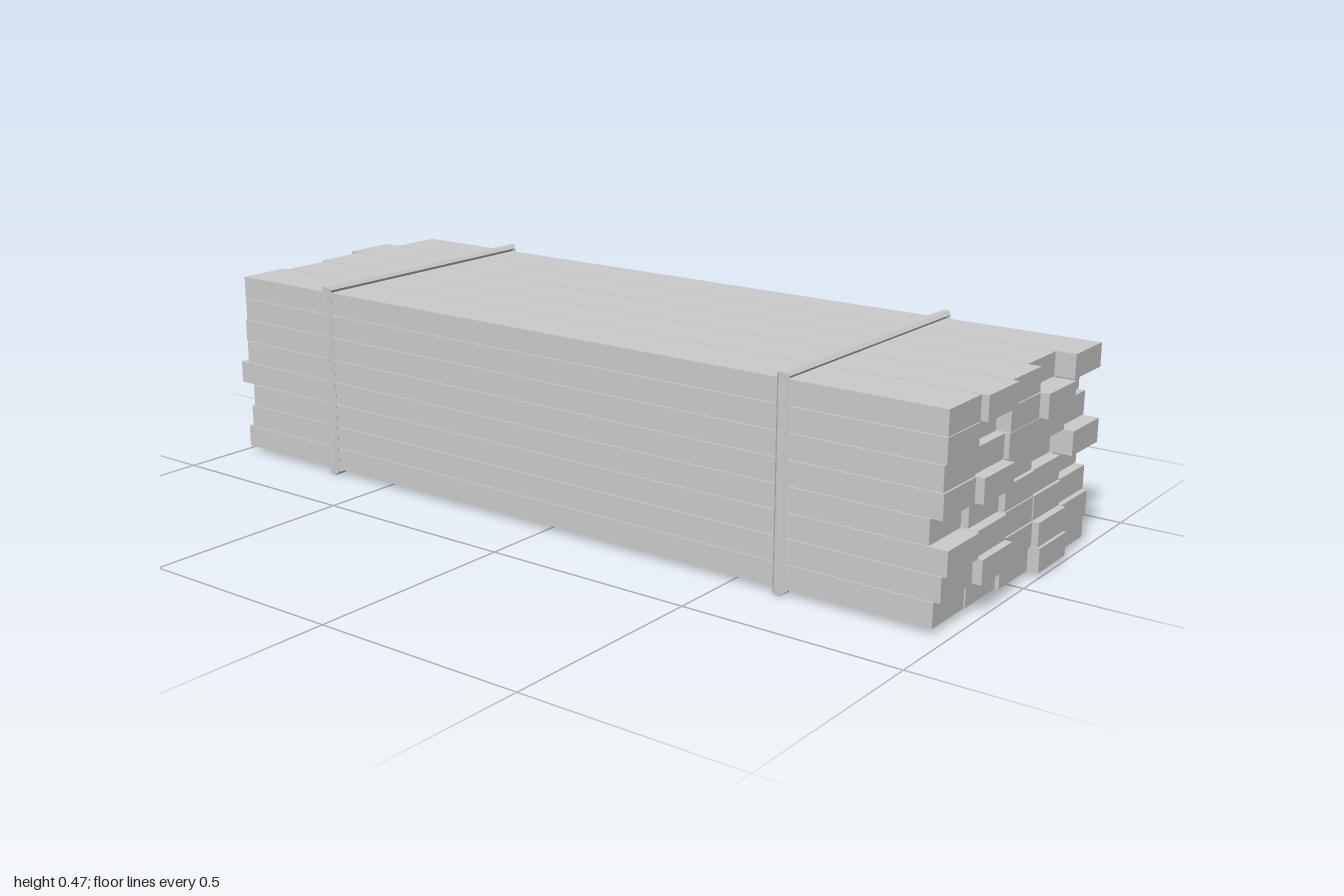
import * as THREE from 'three';

const material = new THREE.MeshStandardMaterial({ color: 0xcccccc, flatShading: true });

// Lengthwise slip of each plank in thousandths: rows bottom to top, columns back to front
const SLIP = [
  [5, 25, 0, -8, -10],
  [10, 20, 6, 25, 5],
  [0, 5, 4, 10, 16],
  [-20, 0, 3, -10, -25],
  [25, -25, -4, 20, 2],
  [-10, 4, 5, -5, 0],
  [-25, 25, 6, -25, 5],
  [20, -25, 5, 20, 5],
];

function createStack() {
  const stack = new THREE.Group();
  stack.name = 'plankStack';
  const geometry = new THREE.BoxGeometry(1.95, 0.0535, 0.129);
  SLIP.forEach((row, r) => row.forEach((slip, c) => {
    const plank = new THREE.Mesh(geometry, material);
    plank.name = `plank_${r + 1}_${c + 1}`;
    plank.position.set(slip / 1000, 0.0395 + r * 0.0553, (c - 2) * 0.1315);
    stack.add(plank);
  }));
  return stack;
}

// Hexagonal band swept around the stack with mitred corners
function createStrapGeometry() {
  const midY = 0.2345, halfY = 0.2265, halfZ = 0.332;
  const section = [[-0.015, 0], [-0.007, 0.008], [0.007, 0.008], [0.015, 0], [0.007, -0.008], [-0.007, -0.008]];
  const corners = [[1, 1], [1, -1], [-1, -1], [-1, 1]]; // signs of z, y
  const positions = [];
  const point = (c, s) => {
    const [sz, sy] = corners[c % 4], [x, out] = section[s % 6];
    return [x, midY + sy * (halfY + out), sz * (halfZ + out)];
  };
  for (let c = 0; c < 4; c++) {
    for (let s = 0; s < 6; s++) {
      const a = point(c, s), b = point(c + 1, s), d = point(c + 1, s + 1), e = point(c, s + 1);
      positions.push(...a, ...b, ...d, ...a, ...d, ...e);
    }
  }
  const geometry = new THREE.BufferGeometry();
  geometry.setAttribute('position', new THREE.Float32BufferAttribute(positions, 3));
  geometry.computeVertexNormals();
  return geometry;
}

export function createModel() {
  const model = new THREE.Group();
  model.name = 'plankBundle';
  model.add(createStack());

  const strapGeometry = createStrapGeometry();
  for (const [name, x] of [['rightStrap', -0.67], ['leftStrap', 0.62]]) {
    const strap = new THREE.Mesh(strapGeometry, material);
    strap.name = name;
    strap.position.x = x;
    model.add(strap);
  }
  return model;
}
